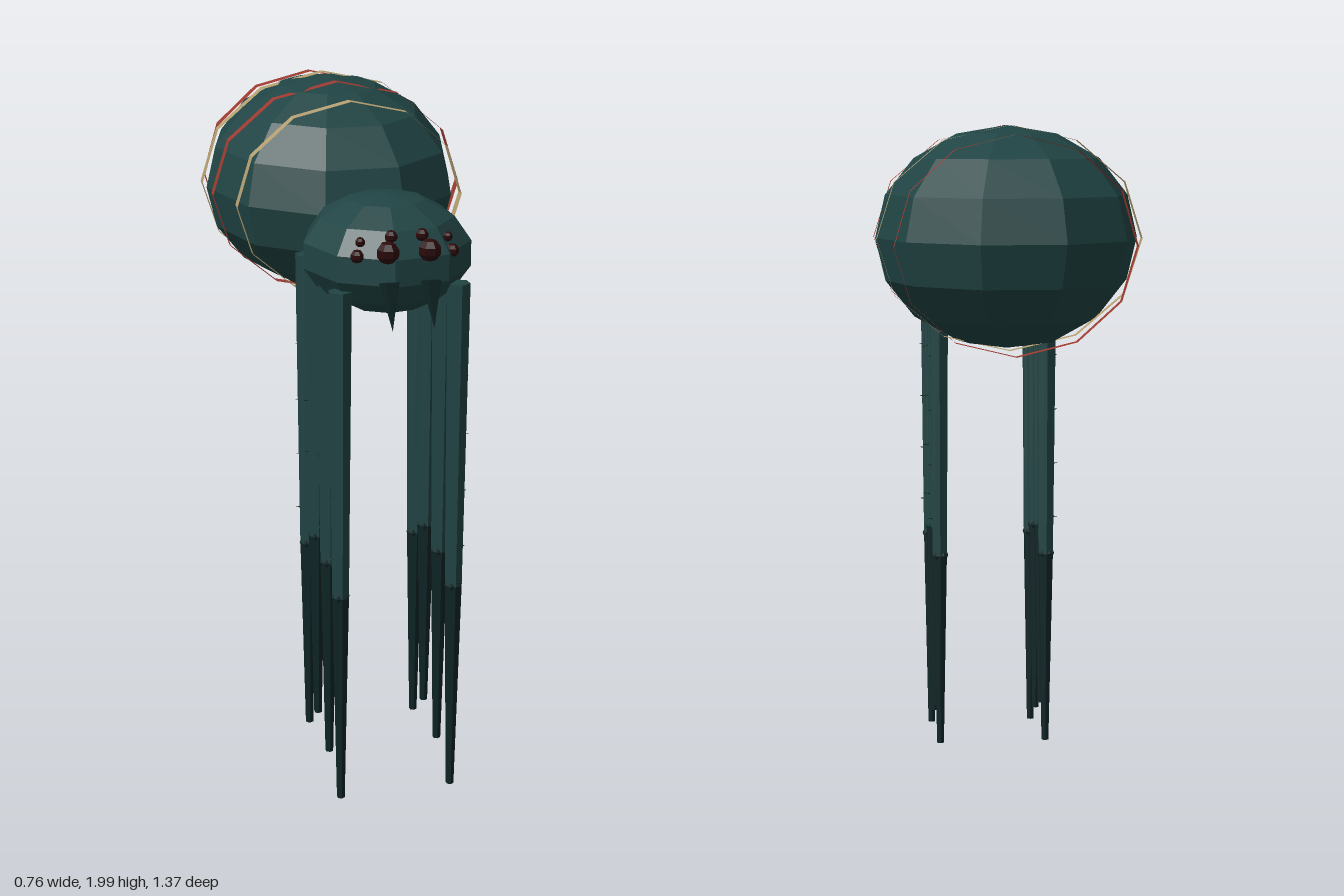
import * as THREE from 'three';

const paint = (name, color, extra = {}) => {
  const m = new THREE.MeshStandardMaterial({ color, flatShading: true, ...extra });
  m.name = name;
  return m;
};

export function createModel() {
  const bodyTeal = paint('body teal', 0x214444);
  const darkTeal = paint('dark teal', 0x0f2426);
  const bandRed = paint('band red', 0x9c3a30, { side: THREE.DoubleSide });
  const bandTan = paint('band tan', 0xb39e70, { side: THREE.DoubleSide });
  const eyeDark = paint('eye dark red', 0x2c0a0a);

  const model = new THREE.Group();
  model.name = 'spider';

  const add = (parent, name, geometry, material, x, y, z) => {
    const mesh = new THREE.Mesh(geometry, material);
    mesh.name = name;
    mesh.position.set(x, y, z);
    parent.add(mesh);
    return mesh;
  };

  // Faceted ellipsoid bodies
  const abdomen = new THREE.SphereGeometry(1, 10, 8).scale(0.38, 0.32, 0.457);
  add(model, 'abdomen', abdomen, bodyTeal, 0, 1.68, -0.255);
  const thorax = new THREE.SphereGeometry(1, 9, 7).scale(0.241, 0.165, 0.255);
  add(model, 'headAndThorax', thorax, bodyTeal, 0, 1.63, 0.4);

  // Thin open hoops around the abdomen: z, centre y, half width, half height
  [
    [0, 1.68, 0.34, 0.292, bandTan],
    [-0.163, 1.68, 0.38, 0.32, bandRed],
    [-0.335, 1.68, 0.38, 0.32, bandTan],
    [-0.505, 1.666, 0.34, 0.307, bandRed],
  ].forEach(([z, y, rx, ry, material]) => {
    const hoop = new THREE.CylinderGeometry(1, 1, 0.034, 12, 1, true);
    hoop.rotateX(Math.PI / 2).scale(rx, ry, 1);
    add(model, 'abdomenBand', hoop, material, 0, y, z);
  });

  // Legs: z, top y, knee y, foot y
  const legs = [
    [0.545, 1.565, 0.66, 0.01],
    [0.405, 1.55, 0.71, 0.09],
    [0.262, 1.565, 0.735, 0.147],
    [0.148, 1.565, 0.665, 0.055],
  ];
  const tube = (top, bottom, rTop, rBottom) =>
    new THREE.CylinderGeometry(rTop, rBottom, top - bottom, 6);

  for (const side of [-1, 1]) {
    for (const [z, top, knee, foot] of legs) {
      const leg = new THREE.Group();
      leg.name = side > 0 ? 'leftLeg' : 'rightLeg';
      leg.position.set(side * 0.168, 0, z);
      model.add(leg);
      add(leg, 'upperLeg', tube(top, knee, 0.033, 0.025), bodyTeal, 0, (top + knee) / 2, 0);
      add(leg, 'lowerLeg', tube(knee, foot, 0.025, 0.012), darkTeal, 0, (knee + foot) / 2, 0);
      add(leg, 'knee', new THREE.SphereGeometry(0.027, 6, 4), darkTeal, 0, knee, 0);
      // Short bristles on the outer face
      for (let i = 0; i < 4; i++) {
        const y = THREE.MathUtils.lerp(top, knee, 0.3 + i * 0.19);
        const hair = new THREE.ConeGeometry(0.003, 0.016, 3).rotateZ(-side * Math.PI / 2);
        add(leg, 'bristle', hair, darkTeal, side * 0.029, y, 0);
      }
    }

    // Eyes: x, y, z, radius
    [
      [0.058, 1.687, 0.63, 0.032],
      [0.133, 1.672, 0.592, 0.019],
      [0.043, 1.724, 0.605, 0.018],
      [0.122, 1.708, 0.582, 0.014],
    ].forEach(([x, y, z, r]) =>
      add(model, 'eye', new THREE.SphereGeometry(r, 7, 5), eyeDark, side * x, y, z));

    // Fang pointing down and slightly forward
    const fang = new THREE.ConeGeometry(0.03, 0.13, 5).rotateX(Math.PI);
    add(model, 'fang', fang, darkTeal, side * 0.058, 1.547, 0.668).rotation.x = -0.23;
  }

  return model;
}
